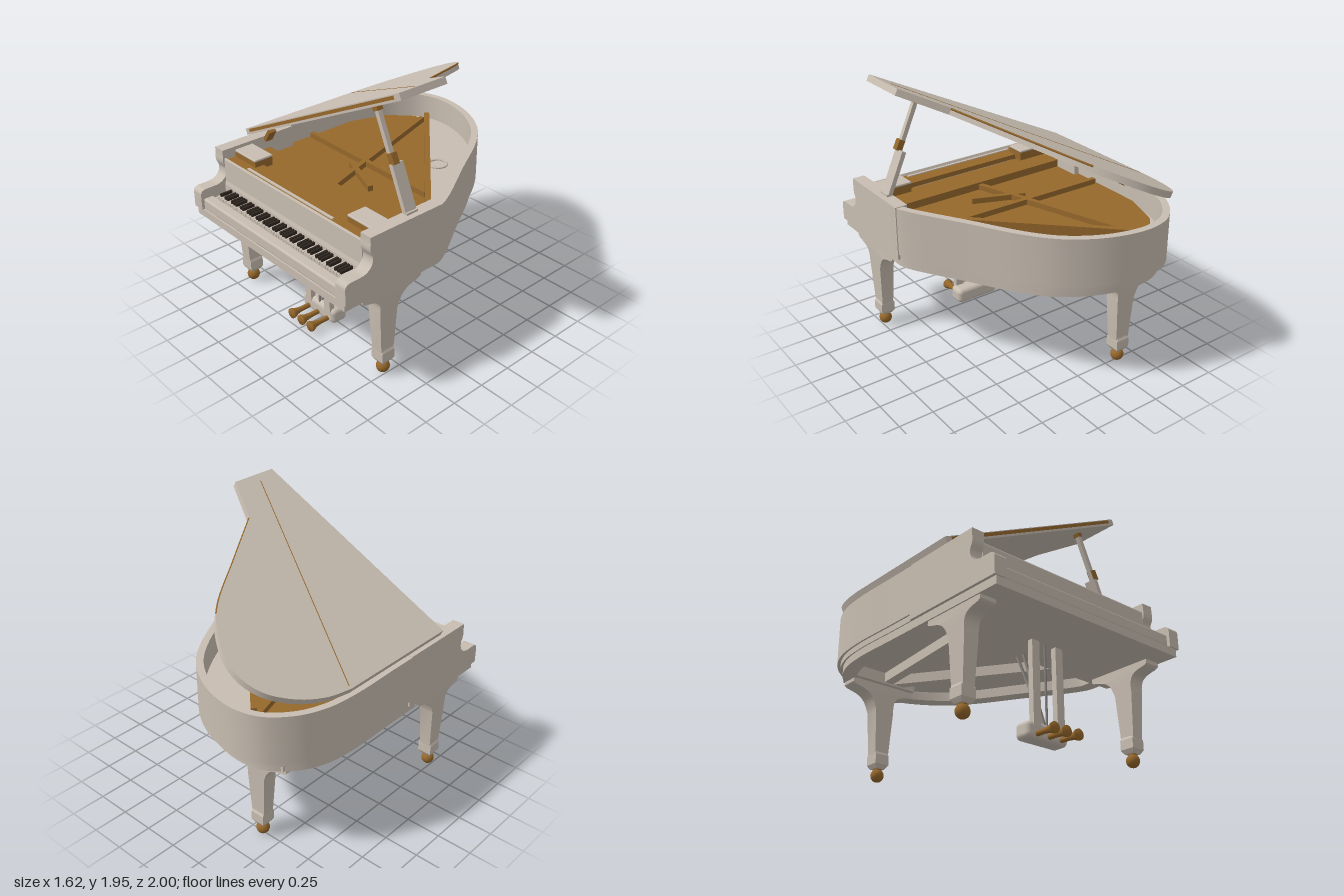
import * as THREE from 'three';
import { toCreasedNormals } from 'three/addons/utils/BufferGeometryUtils.js';
import { RoundedBoxGeometry } from 'three/addons/geometries/RoundedBoxGeometry.js';

const mat = (name, color) => {
  const m = new THREE.MeshStandardMaterial({ color });
  m.name = name;
  return m;
};
const V3 = (x, y, z) => new THREE.Vector3(x, y, z);
const V2 = (x, y) => new THREE.Vector2(x, y);

export function createModel() {
  const body = mat('ivory lacquer', 0xc8bdb1);
  const gold = mat('antique gold', 0x96682c);
  const black = mat('ebony', 0x2e261f);
  const steel = mat('steel', 0x8c8680);
  const root = new THREE.Group();
  root.name = 'grandPiano';

  const add = (name, geo, material, x = 0, y = 0, z = 0, parent = root) => {
    const m = new THREE.Mesh(geo, material);
    m.name = name;
    m.position.set(x, y, z);
    parent.add(m);
    return m;
  };
  // Box given by its min and max on each axis
  const box = (name, material, x0, x1, y0, y1, z0, z1, parent = root) =>
    add(name, new THREE.BoxGeometry(x1 - x0, y1 - y0, z1 - z0), material,
      (x0 + x1) / 2, (y0 + y1) / 2, (z0 + z1) / 2, parent);
  // Bar running from p to q
  const bar = (name, material, p, q, w, h) => {
    const m = new THREE.Mesh(new THREE.BoxGeometry(w, h, p.distanceTo(q)), material);
    m.name = name;
    m.position.copy(p).lerp(q, 0.5);
    m.lookAt(q);
    root.add(m);
  };
  // Horizontal slab from plan points [x, z], between two heights
  const slab = (pts, y0, y1) => {
    const shape = new THREE.Shape(pts.map(([x, z]) => V2(x, -z)));
    const g = new THREE.ExtrudeGeometry(shape, { depth: y1 - y0, bevelEnabled: false });
    g.rotateX(-Math.PI / 2).translate(0, y0, 0);
    return toCreasedNormals(g, 0.5);
  };
  const smooth = (pts, n) => new THREE.CatmullRomCurve3(pts.map(([x, z]) => V3(x, 0, z)))
    .getSpacedPoints(n).map(p => [p.x, p.z]);
  // Offset an open plan path towards the inside
  const inset = (pts, d) => pts.map(([x, z], i) => {
    const a = pts[Math.max(i - 1, 0)], b = pts[Math.min(i + 1, pts.length - 1)];
    const dx = b[0] - a[0], dz = b[1] - a[1], l = Math.hypot(dx, dz);
    return [x + dz / l * d, z - dx / l * d];
  });

  // Case rim: bent side, tail and straight side
  const outline = smooth([[0.81, 0.32], [0.808, 0.22], [0.77, 0.12], [0.56, -0.24], [0.35, -0.6],
    [0.2, -0.78], [0, -0.915], [-0.2, -0.985], [-0.38, -1], [-0.55, -0.95], [-0.7, -0.8],
    [-0.78, -0.62], [-0.81, -0.4], [-0.81, 0], [-0.81, 0.32]], 80);
  const ring = (pts, w) => [...pts, ...inset(pts, w).reverse()];
  const scaled = (sx, sz) => outline.map(([x, z]) => [x * sx, z * sz]);
  add('rim', slab(ring(outline, 0.05), 0.78, 1.125), body);
  add('rimStep', slab(ring(scaled(0.985, 0.965), 0.07), 0.74, 0.78), body);
  add('lowerRim', slab(ring(scaled(0.975, 0.935), 0.1), 0.685, 0.74), body);
  add('soundboard', slab(inset(outline, 0.04), 0.77, 0.94), body);
  add('soundboardRing', new THREE.TorusGeometry(0.065, 0.008, 6, 24).rotateX(Math.PI / 2),
    body, 0.16, 0.945, -0.42);

  // Cheeks with a scrolled arm, mirrored
  const cheek = new THREE.Shape();
  cheek.moveTo(0.2, 0.74);
  cheek.lineTo(1, 0.74);
  cheek.lineTo(1, 0.85);
  cheek.quadraticCurveTo(1, 0.89, 0.95, 0.89);
  cheek.lineTo(0.88, 0.89);
  cheek.bezierCurveTo(0.82, 0.89, 0.77, 0.93, 0.785, 1.0);
  cheek.quadraticCurveTo(0.81, 1.03, 0.8, 1.08);
  cheek.lineTo(0.8, 1.13);
  cheek.lineTo(0.2, 1.13);
  const cheekGeo = toCreasedNormals(
    new THREE.ExtrudeGeometry(cheek, { depth: 0.09, bevelEnabled: false, curveSegments: 10 })
      .rotateY(-Math.PI / 2), 0.6);
  add('leftCheek', cheekGeo, body, 0.81);
  add('rightCheek', cheekGeo, body, -0.72);

  // Keybed, key slip and fallboard
  box('keybed', body, -0.79, 0.79, 0.685, 0.742, 0.3, 0.99);
  box('keyFrame', body, -0.72, 0.72, 0.74, 0.8, 0.25, 0.96);
  add('keySlip', new RoundedBoxGeometry(1.44, 0.085, 0.08, 3, 0.015), body, 0, 0.783, 0.945);
  const fall = new THREE.Shape([V2(0.74, 0.8), V2(0.8, 0.8), V2(0.8, 0.87), V2(0.792, 0.9),
    V2(0.79, 1.06), V2(0.785, 1.07), V2(0.778, 1.07), V2(0.74, 1.0)]);
  add('fallboard', new THREE.ExtrudeGeometry(fall, { depth: 1.44, bevelEnabled: false })
    .rotateY(-Math.PI / 2), body, 0.72);

  // Keyboard
  const keys = new THREE.Group();
  keys.name = 'keyboard';
  root.add(keys);
  box('keyGaps', black, -0.67, 0.69, 0.8, 0.826, 0.8, 0.899, keys);
  const pitch = 1.36 / 52;
  for (let i = 0; i < 52; i++) {
    const x = -0.67 + i * pitch;
    box('whiteKey', body, x + 0.0015, x + pitch - 0.0015, 0.8, 0.835, 0.795, 0.903, keys);
    if (i < 51 && ![1, 4].includes(i % 7))
      box('blackKey', black, x + pitch - 0.008, x + pitch + 0.008, 0.83, 0.856, 0.795, 0.89, keys);
  }

  // Gold action shelf, pin block and corner blocks
  box('actionShelf', gold, -0.72, 0.72, 0.98, 1.055, 0.63, 0.779);
  box('shelfStrip', body, -0.5, 0.4, 1.055, 1.062, 0.735, 0.755);
  box('pinBlock', gold, -0.72, 0.72, 0.94, 1.03, 0.4, 0.605);
  box('damperRail', steel, -0.45, 0.43, 0.96, 1.02, 0.605, 0.63);
  for (const s of [-1, 1]) {
    add('cornerBlock', new RoundedBoxGeometry(0.24, 0.018, 0.15, 3, 0.008), body, s * 0.6, 1.1, 0.625);
    box('cornerPad', gold, s * 0.6 - 0.118, s * 0.6 + 0.118, 1.03, 1.094, 0.555, 0.698);
  }

  // Cast plate with ribs and a long diagonal rail
  add('plate', slab([[-0.76, 0.5], [0.7, 0.5], [0.62, 0.14], [-0.37, -0.84],
    [-0.5, -0.83], [-0.66, -0.68], [-0.76, -0.4]], 0.93, 0.975), gold);
  const ribs = [[0.0, 0.42, -0.39, -0.8], [-0.74, 0.0, 0.48, 0.02], [-0.18, 0.1, 0.18, 0.24]];
  for (const [x0, z0, x1, z1] of ribs)
    bar('plateRib', gold, V3(x0, 0.99, z0), V3(x1, 0.99, z1), 0.035, 0.05);
  bar('plateRail', gold, V3(0.62, 1.0, 0.14), V3(-0.37, 1.0, -0.83), 0.04, 0.09);

  // Raised lid, tilted about the straight side
  const tilt = Math.atan2(0.755, 1.555);
  const lid = new THREE.Group();
  lid.name = 'lid';
  lid.position.set(-0.79, 1.145, 0);
  lid.rotation.z = tilt;
  root.add(lid);
  const onLid = ([x, z]) => [(x + 0.79) / Math.cos(tilt), z];
  const lidCurve = smooth([[0.49, 0.01], [0.26, -0.37], [0.03, -0.74], [-0.12, -0.89], [-0.28, -0.98],
    [-0.41, -1], [-0.55, -0.95], [-0.68, -0.8], [-0.76, -0.61], [-0.79, -0.43]], 50);
  const lidPlan = [[-0.79, 0.54], [0.78, 0.54], [0.78, 0.17], ...lidCurve].map(onLid);
  add('lidPanel', slab(lidPlan, 0, 0.045), body, 0, 0, 0, lid);
  const edge = lidCurve.slice(0, 23).map(onLid).map(([u, z]) => V3(u, 0.039, z));
  add('lidEdgeTrim', new THREE.TubeGeometry(new THREE.CatmullRomCurve3(edge), 50, 0.007, 6), gold, 0, 0, 0, lid);
  box('lidFrontTrim', gold, 0.05, 1.69, 0.016, 0.038, 0.538, 0.544, lid);
  const [h0, h1] = [[-0.77, -0.43], [0.72, 0.36]].map(onLid);
  const hingeLine = slab([[h0[0], h0[1] - 0.003], [h1[0], h1[1] - 0.003],
    [h1[0], h1[1] + 0.003], [h0[0], h0[1] + 0.003]], 0.043, 0.047);
  add('lidHingeLine', hingeLine, gold, 0, 0, 0, lid);
  for (const z of [-0.33, 0.42])
    bar('lidHinge', gold, V3(-0.715, 1.1, z), V3(-0.66, 1.185, z), 0.06, 0.028);

  // Lid prop
  bar('propBase', body, V3(0.755, 1.11, 0.425), V3(0.62, 1.42, 0.425), 0.09, 0.032);
  box('propFoot', body, 0.73, 0.77, 1.12, 1.145, 0.38, 0.47);
  bar('propStick', body, V3(0.63, 1.4, 0.447), V3(0.475, 1.75, 0.447), 0.032, 0.032);
  bar('propCollar', gold, V3(0.635, 1.42, 0.447), V3(0.602, 1.487, 0.447), 0.045, 0.045);
  bar('propTip', gold, V3(0.485, 1.725, 0.447), V3(0.474, 1.75, 0.447), 0.045, 0.045);

  // Legs: flared bracket, tapering post, cuff and caster
  const half = new THREE.Path();
  half.moveTo(0.05, 0.15);
  half.lineTo(0.072, 0.5);
  half.bezierCurveTo(0.085, 0.6, 0.11, 0.62, 0.2, 0.64);
  half.quadraticCurveTo(0.235, 0.645, 0.245, 0.66);
  half.lineTo(0.245, 0.7);
  const profile = half.getPoints(10);
  const legShape = new THREE.Shape([...profile, ...profile.map(p => V2(-p.x, p.y)).reverse()]);
  const postGeo = new THREE.ExtrudeGeometry(legShape, { depth: 0.12, bevelEnabled: false }).translate(0, 0, -0.06);
  const pos = postGeo.attributes.position;
  for (let i = 0; i < pos.count; i++) {
    const y = pos.getY(i);
    pos.setZ(i, pos.getZ(i) * (0.7 + 0.3 * Math.min(1, (y - 0.15) / 0.49)));
    pos.setX(i, pos.getX(i) + 0.025 * THREE.MathUtils.clamp((y - 0.5) / 0.13, 0, 1));
  }
  const legGeo = toCreasedNormals(postGeo, 0.5);
  const cuffGeo = toCreasedNormals(new THREE.LatheGeometry([[0, 0.09], [0.035, 0.09], [0.045, 0.105],
    [0.053, 0.118], [0.053, 0.185], [0.043, 0.205], [0, 0.205]]
    .map(([r, y]) => V2(r * Math.SQRT2, y)), 4).rotateY(Math.PI / 4), 0.4);
  const leg = (name, x, z, turn) => {
    const g = new THREE.Group();
    g.name = name;
    g.position.set(x, 0, z);
    g.rotation.y = turn;
    root.add(g);
    add('post', legGeo, body, 0, 0, 0, g);
    add('cuff', cuffGeo, body, 0, 0, 0, g);
    add('casterBall', new THREE.SphereGeometry(0.046, 20, 14), gold, 0, 0.046, 0, g);
    add('casterStem', new THREE.CylinderGeometry(0.028, 0.028, 0.03, 16), gold, 0, 0.09, 0, g);
  };
  leg('leftFrontLeg', 0.72, 0.62, Math.PI / 2);
  leg('rightFrontLeg', -0.72, 0.62, Math.PI / 2);
  leg('rearLeg', -0.35, -0.755, Math.PI);
  // Underside beams
  box('rearLegBlock', body, -0.62, -0.13, 0.69, 0.78, -0.84, -0.66);
  bar('underBeam', body, V3(-0.35, 0.74, -0.7), V3(-0.45, 0.74, 0.32), 0.07, 0.08);
  bar('underBeam', body, V3(-0.3, 0.74, -0.7), V3(0.4, 0.74, 0.32), 0.07, 0.08);

  // Pedal lyre
  add('pedalBox', new RoundedBoxGeometry(0.345, 0.115, 0.13, 4, 0.035), body, -0.003, 0.088, 0.515);
  for (const x of [-0.1, 0.105])
    bar('lyrePost', body, V3(x, 0.1, 0.562), V3(x, 0.69, 0.562), 0.062, 0.04);
  for (const z of [0.3, 0.36])
    bar('lyreBrace', steel, V3(0, 0.13, 0.545), V3(0, 0.69, z), 0.016, 0.014);
  add('pedalRod', new THREE.CylinderGeometry(0.008, 0.008, 0.56, 8), steel, 0, 0.41, 0.56);
  const pedalGeo = new THREE.LatheGeometry([V2(0.018, 0), V2(0.018, 0.07), V2(0.024, 0.11),
    V2(0.037, 0.14), V2(0.037, 0.155), V2(0, 0.16)], 18).rotateX(Math.PI / 2);
  for (const x of [-0.102, 0, 0.102]) add('pedal', pedalGeo, gold, x, 0.064, 0.58);

  return root;
}
